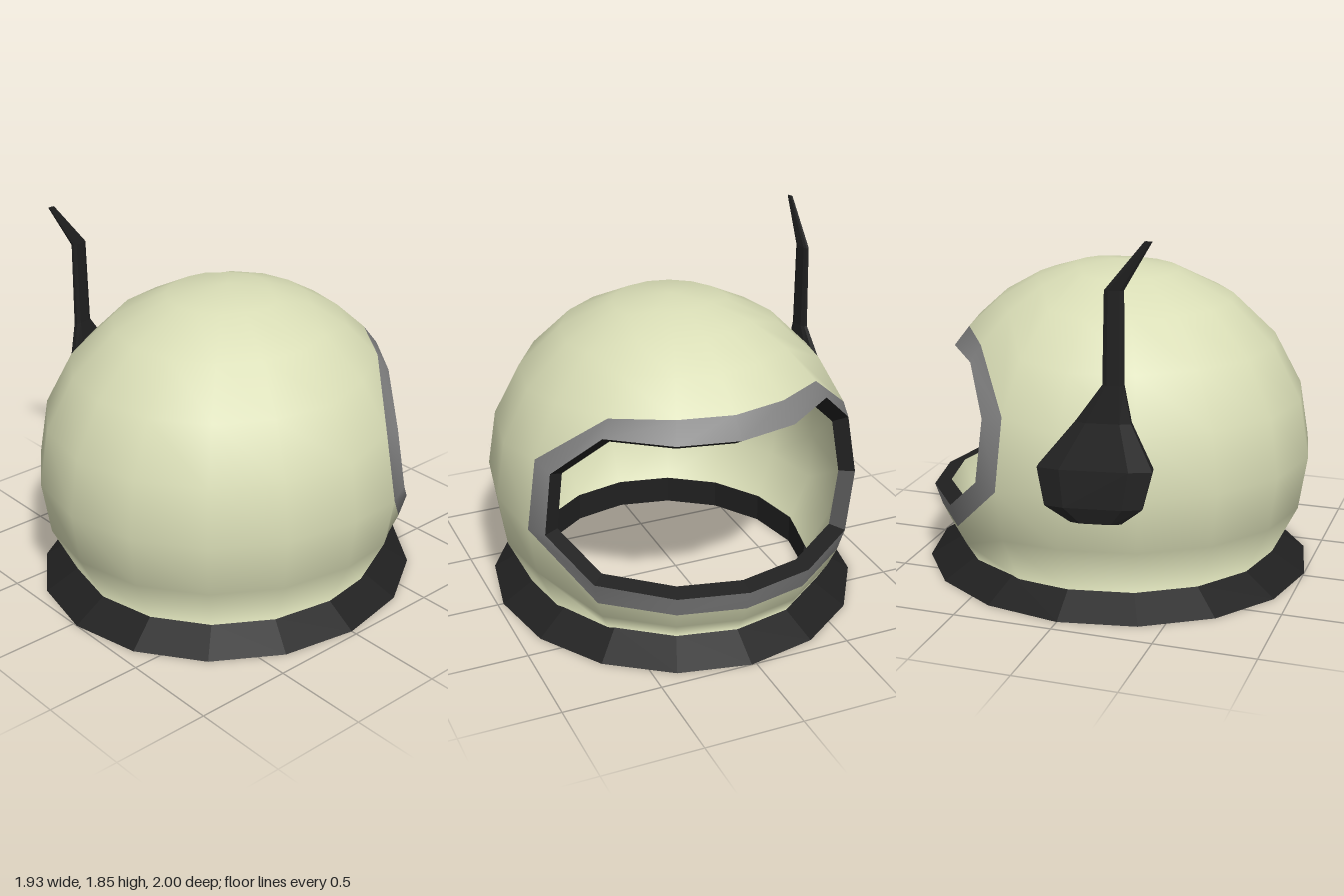
import * as THREE from 'three';

const CX = 0.025, CY = 0.63, RX = 0.945, RY = 0.95, INNER = 0.91;
const rad = THREE.MathUtils.degToRad;
const elev = (y) => Math.asin((y - CY) / RY);
const BASE = elev(0.1);

// point on the dome: azimuth phi (0 = back, positive = +x), elevation e, scale s
function domePoint(phi, e, s) {
  const x = CX + RX * s * Math.cos(e) * Math.sin(phi);
  return [Math.max(x, -0.885 * s), CY + RY * s * Math.sin(e), -s * Math.cos(e) * Math.cos(phi)];
}

// half outlines of the face opening: [azimuth in degrees, lower y, upper y]
const OUTER_EDGE = [[0, 0.28, 1.24], [22.5, 0.285, 1.24], [47.5, 0.3, 1.22], [71, 0.6, 0.96]];
const INNER_EDGE = [[0, 0.39, 1.14], [22.5, 0.395, 1.14], [47.5, 0.42, 1.14], [63.5, 0.62, 0.93]];

const mirrorColumns = (half) => [
  ...half.slice(1).reverse().map(([p, a, b]) => [-p, a, b]), ...half,
];

function makeGeometry(pos, idx, normals) {
  const g = new THREE.BufferGeometry();
  g.setAttribute('position', new THREE.Float32BufferAttribute(pos, 3));
  g.setIndex(idx);
  if (normals) g.setAttribute('normal', new THREE.Float32BufferAttribute(normals, 3));
  else g.computeVertexNormals();
  return g;
}

function flat(g) {
  const f = g.toNonIndexed();
  f.computeVertexNormals();
  return f;
}

// dome with the opening left out; inward = true makes the lining
function domeGeometry(edge, s, inward) {
  const front = [90, 112.5, 135, 157.5, 180].map((p) => [p, CY, 0.92]);
  const cols = mirrorColumns([...edge, ...front]);
  const limit = edge[edge.length - 1][0];
  const rows = 8, pos = [], nor = [], idx = [];
  for (const [deg, lo, hi] of cols) {
    const phi = rad(deg), e0 = elev(lo), e1 = elev(hi);
    const levels = [BASE, (BASE + e0) / 2, e0];
    for (let k = 0; k <= 4; k++) levels.push(e1 + (Math.PI / 2 - e1) * k / 4);
    levels.forEach((e, j) => {
      pos.push(...domePoint(phi, e, s));
      const n = new THREE.Vector3(
        Math.cos(e) * Math.sin(phi) / RX, Math.sin(e) / RY, -Math.cos(e) * Math.cos(phi));
      if (j === 0 && !inward) n.y = 0.25; // soft blend into the collar
      n.normalize().multiplyScalar(inward ? -1 : 1);
      nor.push(n.x, n.y, n.z);
    });
  }
  for (let i = 0; i < cols.length - 1; i++) {
    const open = Math.abs(cols[i][0]) <= limit && Math.abs(cols[i + 1][0]) <= limit;
    for (let j = 0; j < rows - 1; j++) {
      if (open && j === 2) continue;
      const a = i * rows + j, b = a + 1, c = a + rows + 1, d = a + rows;
      if (inward) idx.push(a, c, b, a, d, c);
      else idx.push(a, b, c, a, c, d);
    }
  }
  return makeGeometry(pos, idx, nor);
}

// closed loop of points around the opening
function openingLoop(edge, s) {
  const cols = mirrorColumns(edge);
  return [
    ...cols.map(([p, , hi]) => domePoint(rad(p), elev(hi), s)),
    ...cols.slice().reverse().map(([p, lo]) => domePoint(rad(p), elev(lo), s)),
  ];
}

// skin between successive closed loops, with optional end caps
function loft(loops, capped) {
  const n = loops[0].length, idx = [];
  for (let k = 0; k < loops.length - 1; k++) {
    for (let i = 0; i < n; i++) {
      const a = k * n + i, b = k * n + (i + 1) % n;
      idx.push(a, b, b + n, a, b + n, a + n);
    }
  }
  if (capped) {
    const top = (loops.length - 1) * n;
    for (let i = 1; i < n - 1; i++) idx.push(0, i + 1, i, top, top + i, top + i + 1);
  }
  return makeGeometry(loops.flat(2), idx);
}

// ear pod tapering into the bent antenna: [y, centre x, centre z, half width, half thickness]
function antennaGeometry() {
  const sections = [
    [0.52, -0.885, 0.19, 0.12, 0.03],
    [0.6, -0.89, 0.18, 0.23, 0.045],
    [0.78, -0.87, 0.18, 0.27, 0.05],
    [1.0, -0.85, 0.215, 0.13, 0.03],
    [1.18, -0.845, 0.262, 0.05, 0.018],
    [1.62, -0.845, 0.265, 0.045, 0.013],
    [1.85, -0.845, 0.425, 0.018, 0.006],
  ];
  const octagon = [[1, 0.5], [0.6, 1], [-0.6, 1], [-1, 0.5], [-1, -0.5], [-0.6, -1], [0.6, -1], [1, -0.5]];
  const loops = sections.map(([y, cx, cz, w, t]) => octagon.map(([u, v]) => [
    cx + u * w * 0.17 + v * t * 0.985, y, cz + u * w * 0.985 - v * t * 0.17,
  ]));
  return flat(loft(loops, true));
}

function collarGeometry() {
  const profile = [[0.75, 0.15], [0.75, 0], [1, 0], [0.825, 0.105], [0.75, 0.15]]
    .map(([r, y]) => new THREE.Vector2(r, y));
  const g = new THREE.LatheGeometry(profile, 16);
  g.scale(RX, 1, 1);
  g.translate(CX, 0, 0);
  return flat(g);
}

export function createModel() {
  const material = (name, color) => {
    const m = new THREE.MeshStandardMaterial({ color });
    m.name = name;
    return m;
  };
  const cream = material('cream shell', 0xd9ddb6);
  const grey = material('grey trim', 0x808080);
  const black = material('black rubber', 0x202020);

  const model = new THREE.Group();
  model.name = 'helmet';
  const add = (name, geometry, mat) => {
    const mesh = new THREE.Mesh(geometry, mat);
    mesh.name = name;
    model.add(mesh);
  };

  add('shell', domeGeometry(OUTER_EDGE, 1, false), cream);
  add('lining', domeGeometry(INNER_EDGE, INNER, true), cream);
  add('openingTrim', loft([openingLoop(OUTER_EDGE, 1), openingLoop(INNER_EDGE, 1)]), grey);
  add('openingLip', flat(loft([openingLoop(INNER_EDGE, 1), openingLoop(INNER_EDGE, INNER)])), black);
  add('collar', collarGeometry(), black);
  add('antenna', antennaGeometry(), black);
  return model;
}
